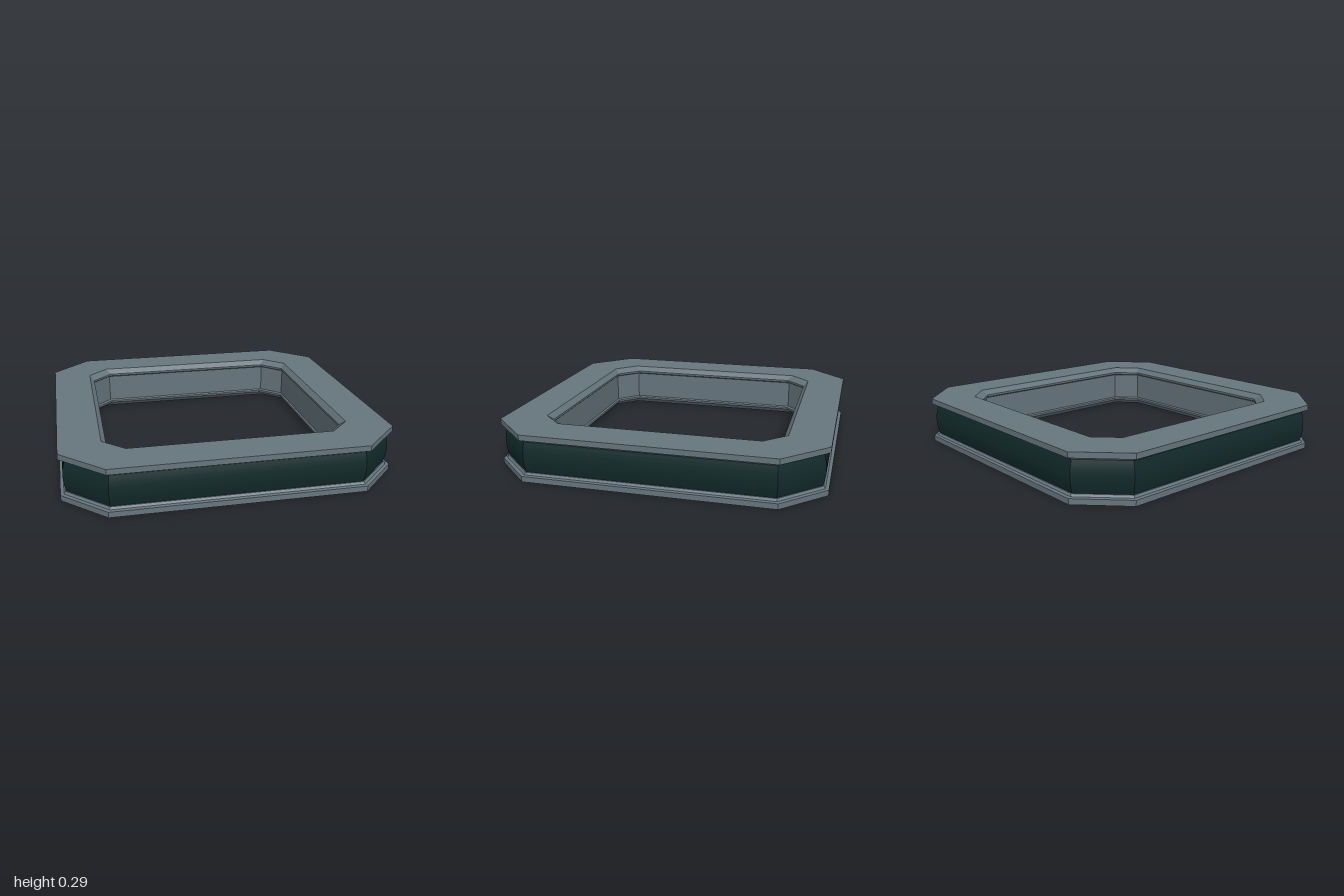
import * as THREE from 'three';
import { toCreasedNormals } from 'three/addons/utils/BufferGeometryUtils.js';

const HEIGHT = 0.29;

// Eight corners of a square of half-width h with its corners cut at c.
const octagon = (h, c, y) =>
  [[h, -c], [h, c], [c, h], [-c, h], [-h, c], [-h, -c], [-c, -h], [c, -h]]
    .map(([x, z]) => [x, y, z]);

// Sweep a profile of [half-width, corner, y] around the chamfered square.
function sweep(profile, closed) {
  const rings = profile.map((p) => octagon(...p));
  const pos = [];
  const last = closed ? rings.length : rings.length - 1;
  for (let i = 0; i < last; i++) {
    const lower = rings[i], upper = rings[(i + 1) % rings.length];
    for (let k = 0; k < 8; k++) {
      const n = (k + 1) % 8;
      pos.push(...lower[k], ...upper[k], ...lower[n]);
      pos.push(...upper[k], ...upper[n], ...lower[n]);
    }
  }
  const geometry = new THREE.BufferGeometry();
  geometry.setAttribute('position', new THREE.Float32BufferAttribute(pos, 3));
  return toCreasedNormals(geometry, 0.4);
}

// Profile point on the outside, offset inward by d.
const outer = (d, y) => [1 - d, 0.75 - 0.414 * d, y];

export function createModel() {
  const model = new THREE.Group();
  model.name = 'chamferedFrame';

  const add = (name, geometry, color) => {
    const mesh = new THREE.Mesh(geometry, new THREE.MeshStandardMaterial({ color }));
    mesh.name = name;
    model.add(mesh);
  };

  // Upper half of the frame section, from the outer web over the top to the inner wall
  const half = [
    outer(0.05, 0.24),
    outer(0.03, 0.24),
    outer(0.02, 0.253),
    outer(0, 0.256),
    outer(0, HEIGHT),
    [0.75, 0.62, HEIGHT],
    [0.72, 0.59, 0.258],
    [0.72, 0.59, 0.245],
    [0.73, 0.6, 0.237],
  ];
  const mirrored = half.map(([h, c, y]) => [h, c, HEIGHT - y]).reverse();
  add('frame', sweep([...half, ...mirrored], true), 0x66757e);

  // Bulging dark band set between the two flanges
  const band = [];
  const steps = 8;
  for (let i = 0; i <= steps; i++) {
    const t = (i / steps) * 2 - 1;
    band.push(outer(0.02 + 0.016 * t * t, HEIGHT / 2 + 0.096 * t));
  }
  add('outerBand', sweep(band, false), 0x122a2a);

  return model;
}
